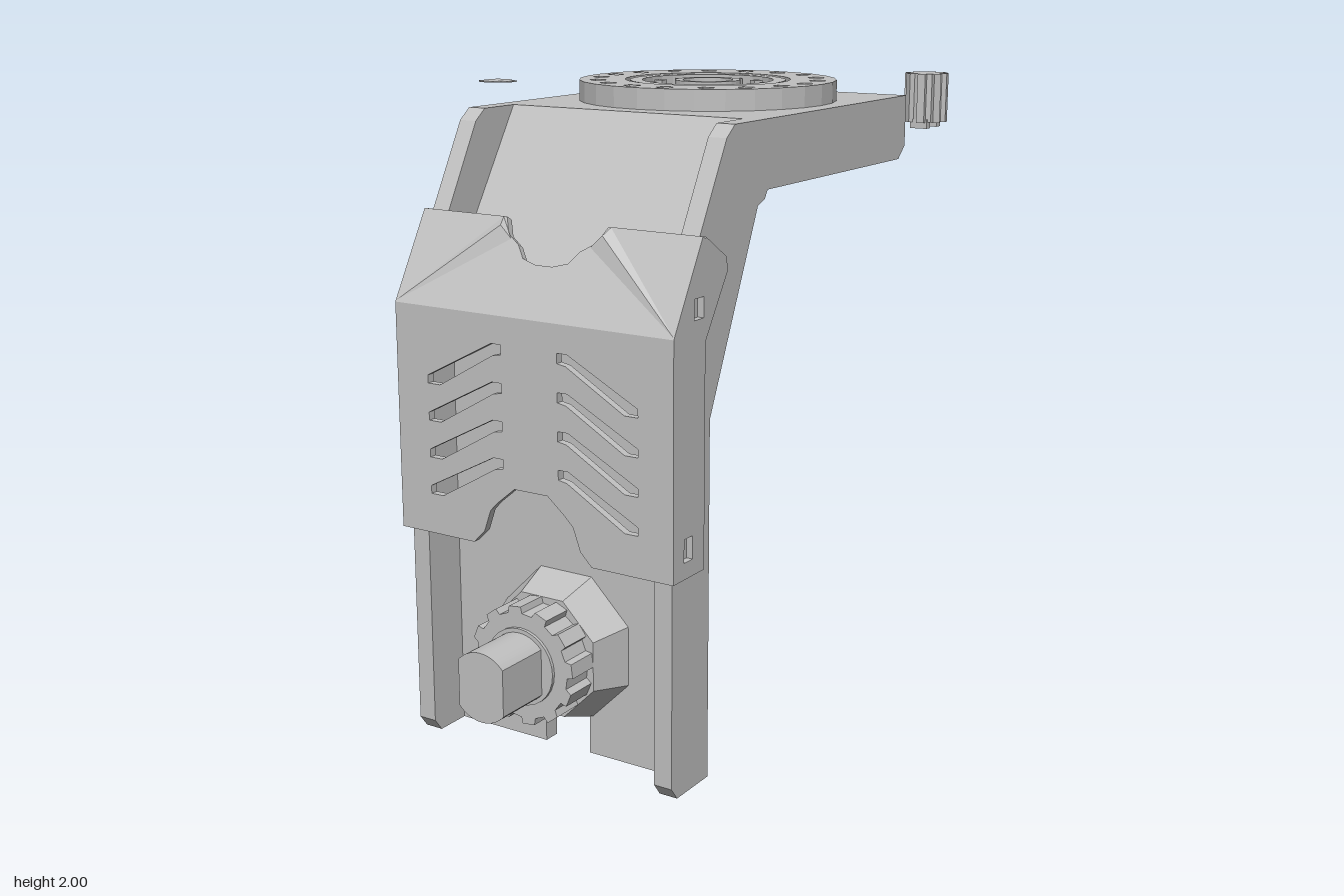
import * as THREE from 'three';

const grey = new THREE.MeshStandardMaterial({ color: 0xc0c0c0, flatShading: true, side: THREE.DoubleSide });
grey.name = 'machined grey';

const shapeOf = (pts) => new THREE.Shape(pts.map(([x, y]) => new THREE.Vector2(x, y)));
const extrude = (shape, depth) => new THREE.ExtrudeGeometry(shape, { depth, bevelEnabled: false, curveSegments: 14 });

function add(parent, name, geo) {
  const mesh = new THREE.Mesh(geo, grey);
  mesh.name = name;
  parent.add(mesh);
  return mesh;
}

// Facing plate: outline in x/y, from z0 to z1
const frontPlate = (shape, z0, z1) => extrude(shape, z1 - z0).translate(0, 0, z0);
// Lying plate: outline in x/-z, from y0 to y1
const flatPlate = (shape, y0, y1) => extrude(shape, y1 - y0).rotateX(-Math.PI / 2).translate(0, y0, 0);
// Side profile: outline in z/y, from x0 to x1
const sidePlate = (shape, x0, x1) => extrude(shape, x1 - x0).rotateY(-Math.PI / 2).translate(x1, 0, 0);

function roundHole(shape, x, y, r) {
  shape.holes.push(new THREE.Path().absarc(x, y, r, 0, Math.PI * 2, true));
}
function polyHole(shape, pts) {
  shape.holes.push(new THREE.Path(pts.map(([x, y]) => new THREE.Vector2(x, y))));
}
function squareHole(shape, x, y, w, h = w) {
  polyHole(shape, [[x - w / 2, y - h / 2], [x - w / 2, y + h / 2], [x + w / 2, y + h / 2], [x + w / 2, y - h / 2]]);
}
function squareHoleRing(shape, cx, cy, r, count, size, phase = 0) {
  for (let i = 0; i < count; i++) {
    const a = phase + (i / count) * Math.PI * 2;
    squareHole(shape, cx + r * Math.cos(a), cy + r * Math.sin(a), size);
  }
}
function disc(r, inner = 0) {
  const s = new THREE.Shape().absarc(0, 0, r, 0, Math.PI * 2, false);
  if (inner) roundHole(s, 0, 0, inner);
  return s;
}
function toothed(teeth, outer, inner) {
  const pts = [];
  for (let i = 0; i < teeth; i++) {
    [[0, outer], [0.45, outer], [0.55, inner], [0.95, inner]].forEach(([t, r]) => {
      const a = ((i + t) / teeth) * Math.PI * 2;
      pts.push([r * Math.cos(a), r * Math.sin(a)]);
    });
  }
  return shapeOf(pts);
}

const HALF = 0.4725, INNER = 0.412, DISC_Z = -0.275;

function buildBracket() {
  const g = new THREE.Group();
  g.name = 'bracket';

  // Side flanges
  const profile = [[0.65, 0], [0.68, 0.04], [0.68, 1.385], [0.54, 1.645], [0.4, 1.9], [0.355, 1.935], [-0.755, 1.935],
    [-0.755, 1.77], [-0.71, 1.73], [0.165, 1.73], [0.18, 1.705], [0.22, 1.69], [0.48, 1.11], [0.48, 0]];
  for (const s of [-1, 1]) {
    add(g, 'sideFlange', sidePlate(shapeOf(profile), s < 0 ? -HALF : INNER, s < 0 ? -INNER : HALF));
  }

  // Upright web with bottom notch, shaft hole and pin hole
  const web = shapeOf([[-INNER, 0], [-0.083, 0], [-0.083, 0.15], [0.083, 0.15], [0.083, 0], [INNER, 0], [INNER, 1.25], [-INNER, 1.25]]);
  roundHole(web, 0, 0.35, 0.107);
  squareHole(web, 0, 0.83, 0.03);
  add(g, 'uprightWeb', frontPlate(web, 0.48, 0.535));

  // Sloped web joining the upright to the top
  add(g, 'slopedWeb', sidePlate(shapeOf([[0.48, 1.25], [0.535, 1.25], [0.535, 1.42], [0.21, 1.935], [0.14, 1.885]]), -INNER, INNER));

  // Top plate with the turntable opening
  const top = shapeOf([[-INNER, -0.21], [INNER, -0.21], [INNER, 0.755], [-INNER, 0.755]]);
  roundHole(top, 0, -DISC_Z, 0.25);
  squareHoleRing(top, 0, -DISC_Z, 0.355, 18, 0.035);
  add(g, 'topPlate', flatPlate(top, 1.885, 1.935));
  return g;
}

function buildCover() {
  const g = new THREE.Group();
  g.name = 'cover';
  const W = 0.4925;

  // Front panel with arched lower edge and slanted vents
  const arch = [[0.215, 0.68], [0.175, 0.72], [0.15, 0.79], [0.12, 0.82], [0.06, 0.87]];
  const panel = shapeOf([[-W, 0.68], ...arch.map(([x, y]) => [-x, y]), ...arch.slice().reverse(), [W, 0.68], [W, 1.385], [-W, 1.385]]);
  for (let i = 0; i < 4; i++) {
    for (const s of [-1, 1]) {
      const y = -0.115 * i;
      polyHole(panel, [[0.1, 1.27], [0.1, 1.3], [0.135, 1.3], [0.375, 1.175], [0.375, 1.15], [0.33, 1.15], [0.13, 1.265]]
        .map(([x, v]) => [s * x, v + y]));
    }
  }
  add(g, 'ventedPanel', frontPlate(panel, 0.68, 0.705));

  // Sloped hood with a central cutout and two creased ridges
  const hood = new THREE.Group();
  hood.name = 'hood';
  hood.position.set(0, 1.385, 0.705);
  hood.rotation.x = -Math.atan2(0.15, 0.265);
  const dip = [[0.18, 0.302], [0.155, 0.25], [0.11, 0.22], [0.08, 0.18], [0.03, 0.165]];
  const lid = shapeOf([[-W, 0], [W, 0], [W, 0.302], ...dip, ...dip.slice().reverse().map(([x, y]) => [-x, y]), [-W, 0.302]]);
  add(hood, 'hoodPlate', frontPlate(lid, -0.025, 0));
  for (const s of [-1, 1]) {
    const a = [s * W, 0.004, 0], b = [s * 0.19, 0.3, 0.002], c = [s * 0.14, 0.235, 0.002], d = [s * 0.18, 0.268, 0.018];
    const ridge = new THREE.BufferGeometry();
    const faces = s > 0 ? [a, b, d, a, d, c, b, c, d] : [a, d, b, a, c, d, b, d, c];
    ridge.setAttribute('position', new THREE.Float32BufferAttribute(faces.flat(), 3));
    ridge.computeVertexNormals();
    add(hood, 'ridge', ridge);
  }
  g.add(hood);

  // Side ears with screw openings
  for (const s of [-1, 1]) {
    const ear = shapeOf([[0.54, 0.68], [0.68, 0.68], [0.68, 1.385], [0.54, 1.645], [0.43, 1.575], [0.42, 1.535], [0.54, 1.35]]);
    squareHole(ear, 0.575, 1.45, 0.05, 0.06);
    squareHole(ear, 0.625, 0.765, 0.045, 0.07);
    add(g, 'sideEar', sidePlate(ear, s < 0 ? -W : HALF, s < 0 ? -HALF : W));
  }
  return g;
}

function buildShaft() {
  const g = new THREE.Group();
  g.name = 'driveShaft';
  g.position.y = 0.35;
  const flange = new THREE.CylinderGeometry(0.2, 0.245, 0.125, 8).rotateY(Math.PI / 8).rotateX(Math.PI / 2).translate(0, 0, 0.5975);
  add(g, 'flange', flange);
  add(g, 'toothedCollar', frontPlate(toothed(12, 0.185, 0.165), 0.655, 0.765));
  add(g, 'bushing', frontPlate(disc(0.12), 0.765, 0.775));
  // Round shaft with two flats
  const a = Math.acos(0.08 / 0.107);
  const flat = new THREE.Shape();
  flat.absarc(0, 0, 0.107, a, Math.PI - a, false);
  flat.absarc(0, 0, 0.107, Math.PI + a, Math.PI * 2 - a, false);
  add(g, 'shaft', frontPlate(flat, 0.77, 0.96));
  add(g, 'rearSleeve', frontPlate(disc(0.107, 0.098), 0.42, 0.54));
  return g;
}

function buildTurntable() {
  const g = new THREE.Group();
  g.name = 'turntable';
  g.position.z = DISC_Z;
  const rim = disc(0.412, 0.265);
  squareHoleRing(rim, 0, 0, 0.355, 18, 0.043);
  add(g, 'rim', flatPlate(rim, 1.935, 2));
  const floor = disc(0.265);
  squareHoleRing(floor, 0, 0, 0.125, 4, 0.035, Math.PI / 2);
  add(g, 'floor', flatPlate(floor, 1.935, 1.965));
  [[0.25, 0.21], [0.105, 0.08]].forEach(([r, inner]) => add(g, 'raisedRing', flatPlate(disc(r, inner), 1.965, 1.998)));
  // Small studs between the rings
  for (let i = 0; i < 12; i++) {
    const stud = new THREE.BoxGeometry(0.03, 0.025, 0.03).translate(0.18, 1.977, 0).rotateY((i / 12) * Math.PI * 2);
    add(g, 'stud', stud);
  }
  return g;
}

export function createModel() {
  const model = new THREE.Group();
  model.name = 'bracketAssembly';

  const body = new THREE.Group();
  body.name = 'body';
  body.position.x = 0.0075;
  body.add(buildBracket(), buildCover(), buildShaft(), buildTurntable());
  model.add(body);

  // Loose splined pin behind the top plate
  const pin = new THREE.Group();
  pin.name = 'splinedPin';
  pin.position.set(0.49, 0, -0.89);
  add(pin, 'pinBody', flatPlate(toothed(8, 0.072, 0.056), 1.84, 2));
  for (const s of [-1, 1]) add(pin, 'prong', new THREE.BoxGeometry(0.06, 0.03, 0.03).translate(0, 1.835, s * 0.04));
  model.add(pin);

  // Loose flat key beside the turntable
  const key = shapeOf([[-0.57, -0.17], [-0.555, -0.185], [-0.505, -0.185], [-0.49, -0.16], [-0.465, -0.16],
    [-0.465, -0.11], [-0.49, -0.11], [-0.505, -0.085], [-0.555, -0.085], [-0.57, -0.1]]);
  add(model, 'flatKey', flatPlate(key, 1.996, 2));
  return model;
}
